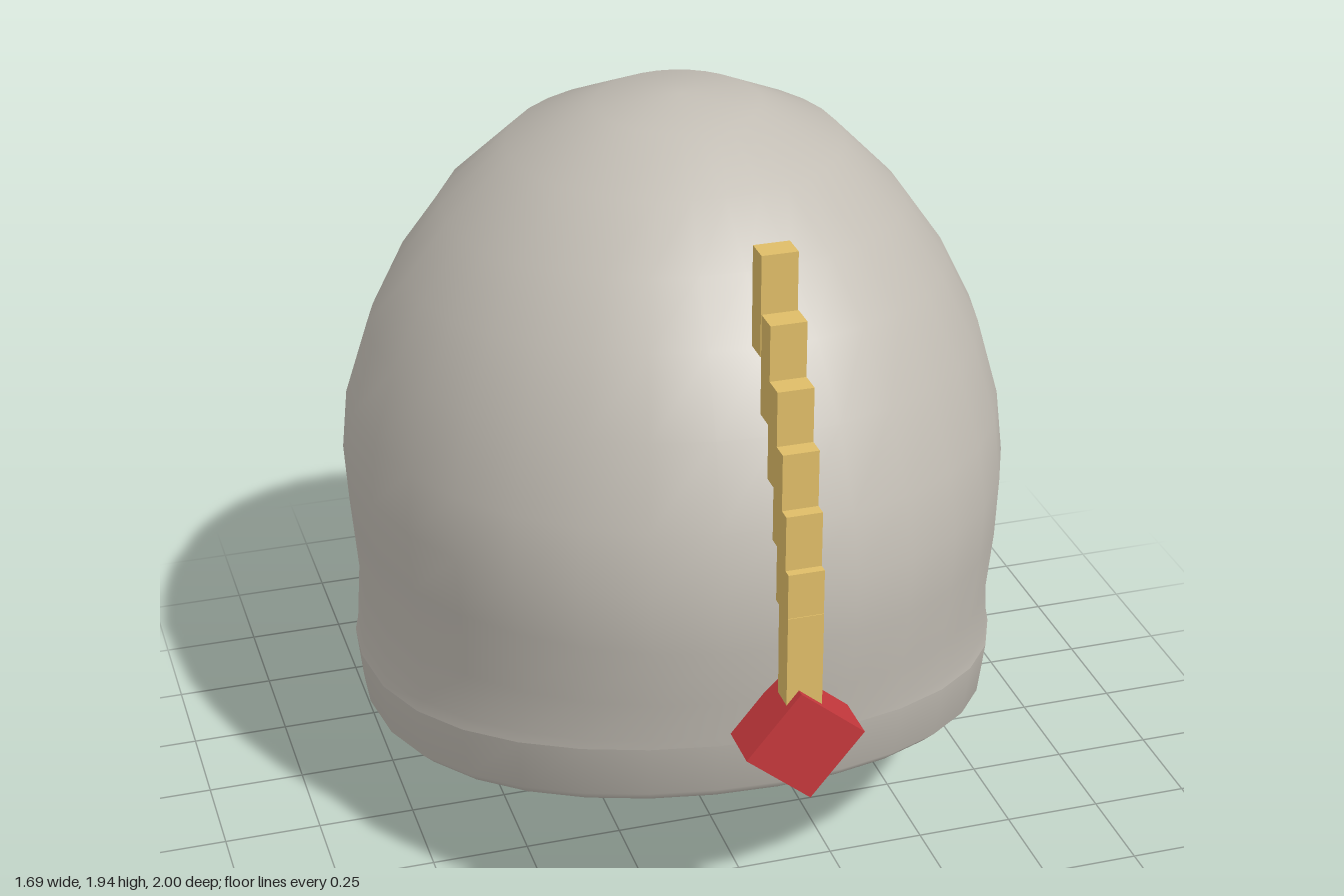
import * as THREE from 'three';
import { mergeVertices } from 'three/addons/utils/BufferGeometryUtils.js';

const SEGMENTS = 32;

// Each ring: [front z, front y, side x, side y, side z, back z, back y]
const BAND = [
  [0.8, 0.445, 0.79, 0.235, -0.15, -0.98, 0],
  [0.84, 0.485, 0.82, 0.265, -0.15, -0.997, 0.05],
  [0.862, 0.625, 0.836, 0.41, -0.15, -0.99, 0.23],
];
const DOME = [
  [0.862, 0.625, 0.836, 0.41, -0.15, -0.99, 0.23],
  [0.866, 0.65, 0.828, 0.45, -0.15, -0.975, 0.28],
  [0.88, 0.75, 0.818, 0.6, -0.15, -0.953, 0.48],
  [0.9, 0.9, 0.834, 0.8, -0.15, -0.97, 0.7],
  [0.897, 1.05, 0.843, 0.96, -0.15, -0.972, 0.84],
  [0.86, 1.2, 0.828, 1.12, -0.15, -0.93, 1.02],
  [0.78, 1.4, 0.77, 1.32, -0.13, -0.865, 1.22],
  [0.66, 1.57, 0.685, 1.49, -0.11, -0.795, 1.44],
  [0.52, 1.7, 0.58, 1.64, -0.09, -0.665, 1.65],
  [0.36, 1.82, 0.42, 1.805, -0.07, -0.48, 1.81],
  [0.15, 1.905, 0.21, 1.91, -0.05, -0.22, 1.927],
  [-0.02, 1.942, 0, 1.942, -0.02, -0.02, 1.942],
];

// Joins rings made of a front and a back half ellipse, rising and falling to the ends
function loft(rings) {
  const positions = [], index = [];
  for (const [fz, fy, sx, sy, sz, bz, by] of rings) {
    for (let j = 0; j < SEGMENTS; j++) {
      const a = (j / SEGMENTS) * Math.PI * 2;
      const s = Math.sin(a), k = Math.abs(s);
      positions.push(
        sx * Math.cos(a),
        THREE.MathUtils.lerp(sy, s > 0 ? fy : by, k ** 1.5),
        THREE.MathUtils.lerp(sz, s > 0 ? fz : bz, k));
    }
  }
  for (let i = 0; i < rings.length - 1; i++) {
    for (let j = 0; j < SEGMENTS; j++) {
      const n = (j + 1) % SEGMENTS;
      const p = i * SEGMENTS + j, q = i * SEGMENTS + n;
      const pu = p + SEGMENTS, qu = q + SEGMENTS;
      index.push(p, pu, q, q, pu, qu);
    }
  }
  let geometry = new THREE.BufferGeometry();
  geometry.setAttribute('position', new THREE.Float32BufferAttribute(positions, 3));
  geometry.setIndex(index);
  geometry = mergeVertices(geometry);
  geometry.computeVertexNormals();
  return geometry;
}

// Moves a ring inwards by the thickness of the rim
function inset([fz, fy, sx, sy, sz, bz, by]) {
  const t = 0.033;
  return [fz - t, fy, sx - t, sy, sz, bz + t, by];
}

export function createModel() {
  const shellGrey = new THREE.MeshStandardMaterial({ color: 0xc2bdb4, side: THREE.DoubleSide });
  shellGrey.name = 'shell grey';
  const gold = new THREE.MeshStandardMaterial({ color: 0xdfbd68 });
  gold.name = 'gold';
  const red = new THREE.MeshStandardMaterial({ color: 0xc5383c });
  red.name = 'red';

  const model = new THREE.Group();
  model.name = 'helmet';
  const add = (name, geometry, material, parent = model) => {
    const mesh = new THREE.Mesh(geometry, material);
    mesh.name = name;
    parent.add(mesh);
    return mesh;
  };

  // Thin dome on a thick rim band
  add('dome', loft(DOME), shellGrey);
  add('rimBand', loft(BAND), shellGrey);
  const inner = BAND.map(inset);
  add('rimLining', loft([...inner].reverse()), shellGrey);
  add('rimEdge', loft([inner[0], BAND[0]]), shellGrey);
  add('rimLedge', loft([BAND[2], inner[2]]), shellGrey);

  // Crest of overlapping upright bars: [centre z, top y]
  const crest = new THREE.Group();
  crest.name = 'crest';
  model.add(crest);
  const bars = [[0.95, 1.03], [0.948, 1.145], [0.926, 1.285], [0.894, 1.428],
    [0.85, 1.566], [0.793, 1.705], [0.724, 1.848]];
  const barGeometry = new THREE.BoxGeometry(0.088, 0.252, 0.063);
  for (const [z, top] of bars) {
    add('crestBar', barGeometry, gold, crest).position.set(0, top - 0.126, z);
  }

  // Diamond badge on the brow, its back just piercing the dome
  const badge = add('badge', new THREE.BoxGeometry(0.208, 0.208, 0.124), red);
  badge.position.set(0, 0.686, 0.938);
  badge.rotation.z = 0.88;

  return model;
}
